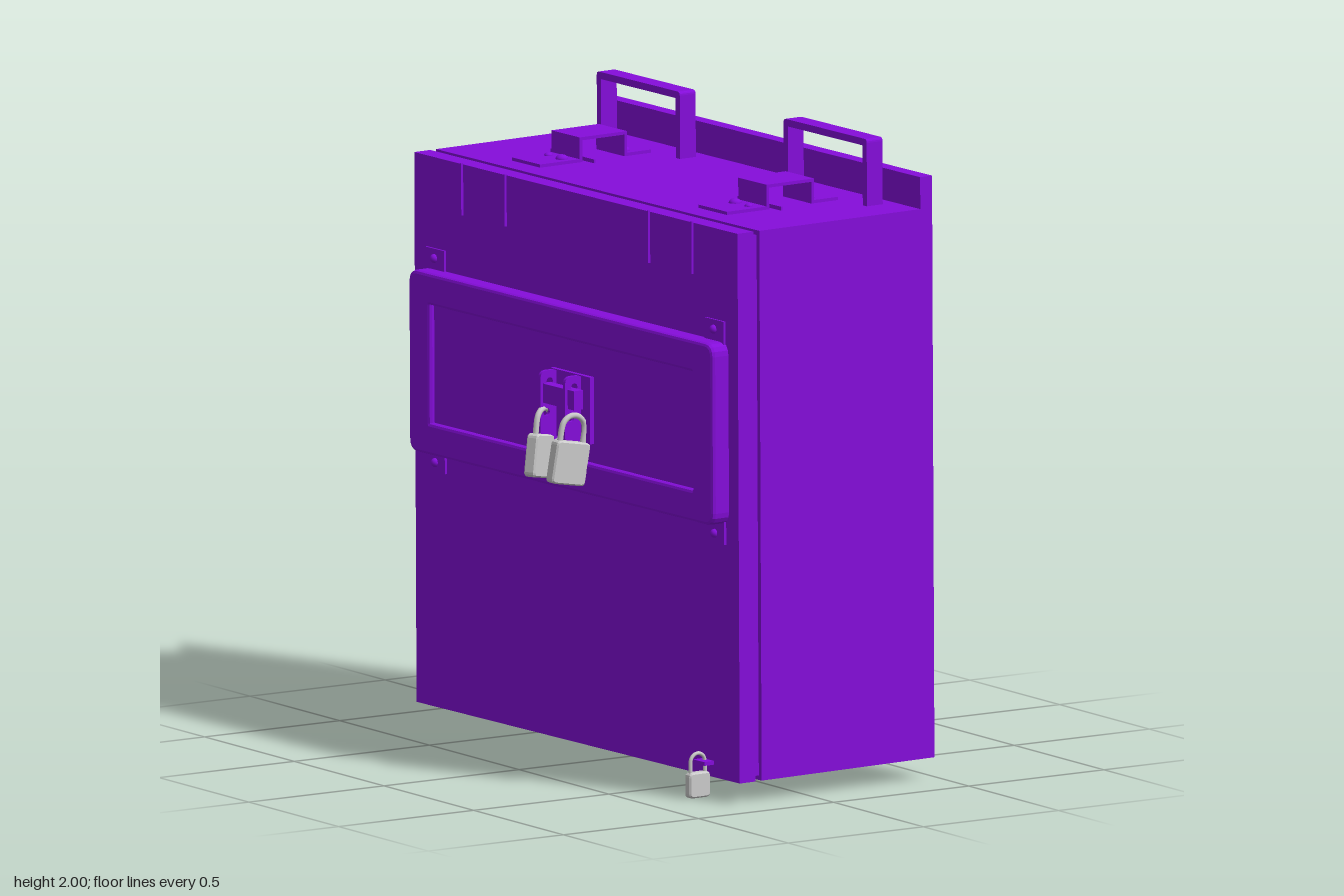
import * as THREE from 'three';

const purple = new THREE.MeshStandardMaterial({ color: 0x850ddb });
const grey = new THREE.MeshStandardMaterial({ color: 0xcccccc });

function add(parent, name, geometry, material = purple) {
  const mesh = new THREE.Mesh(geometry, material);
  mesh.name = name;
  parent.add(mesh);
  return mesh;
}

// Box given by its minimum and maximum on each axis
function box(parent, name, [x0, x1], [y0, y1], [z0, z1], material) {
  const mesh = add(parent, name, new THREE.BoxGeometry(x1 - x0, y1 - y0, z1 - z0), material);
  mesh.position.set((x0 + x1) / 2, (y0 + y1) / 2, (z0 + z1) / 2);
  return mesh;
}

// Rounded rectangle outline centred on the origin
function roundedRect(w, h, r, Type = THREE.Shape) {
  const s = new Type();
  const x = w / 2, y = h / 2;
  s.moveTo(-x + r, -y);
  s.lineTo(x - r, -y).quadraticCurveTo(x, -y, x, -y + r);
  s.lineTo(x, y - r).quadraticCurveTo(x, y, x - r, y);
  s.lineTo(-x + r, y).quadraticCurveTo(-x, y, -x, y - r);
  s.lineTo(-x, -y + r).quadraticCurveTo(-x, -y, -x + r, -y);
  return s;
}

// Padlock in the xy plane, origin at the top of the shackle
function padlock(name, w, h, d, rise) {
  const lock = new THREE.Group();
  lock.name = name;
  const body = add(lock, 'lockBody', new THREE.ExtrudeGeometry(roundedRect(w - 0.01, h - 0.01, 0.01), {
    depth: d - 0.01, bevelSize: 0.005, bevelThickness: 0.005, bevelSegments: 1, curveSegments: 3,
  }), grey);
  body.position.set(0, -rise - h / 2, -d / 2 + 0.005);
  const r = w * 0.34, t = w * 0.075;
  const points = [new THREE.Vector3(-r, -rise - 0.01, 0)];
  for (let i = 0; i <= 8; i++) {
    const a = Math.PI * (1 - i / 8);
    points.push(new THREE.Vector3(r * Math.cos(a), -r - t + r * Math.sin(a), 0));
  }
  points.push(new THREE.Vector3(r, -rise - 0.01, 0));
  add(lock, 'shackle', new THREE.TubeGeometry(new THREE.CatmullRomCurve3(points), 32, t, 8), grey);
  return lock;
}

// U-shaped strap handle standing on the lid
function handle(z) {
  const s = new THREE.Shape();
  const w = 0.22, h = 0.21, t = 0.022, r = 0.012;
  s.moveTo(-w, 0);
  s.lineTo(-w, h - r).quadraticCurveTo(-w, h, -w + r, h);
  s.lineTo(w - r, h).quadraticCurveTo(w, h, w, h - r);
  s.lineTo(w, 0).lineTo(w - t, 0).lineTo(w - t, h - t);
  s.lineTo(-w + t, h - t).lineTo(-w + t, 0).closePath();
  const geometry = new THREE.ExtrudeGeometry(s, { depth: 0.06, bevelEnabled: false, curveSegments: 4 });
  geometry.translate(0, 0, -0.03).rotateY(Math.PI / 2);
  const g = new THREE.Group();
  g.name = 'handle';
  add(g, 'handleStrap', geometry);
  g.position.set(0.33, 1.79, z);
  return g;
}

// Hat-shaped bracket bolted to the lid
function bracket(z) {
  const g = new THREE.Group();
  g.name = 'lidBracket';
  const t = 0.01, h = 0.078, half = 0.075;
  const s = new THREE.Shape();
  [[-0.13, 0], [-0.13, t], [0.02, t], [0.02, h], [0.2, h], [0.2, t], [0.29, t], [0.29, 0],
    [0.19, 0], [0.19, h - t], [0.03, h - t], [0.03, 0]].forEach(([x, y], i) => (i ? s.lineTo(x, y) : s.moveTo(x, y)));
  const geometry = new THREE.ExtrudeGeometry(s, { depth: half * 2, bevelEnabled: false });
  add(g, 'bracketStrip', geometry.translate(0, 0, -half));
  for (const x of [-0.02, 0.215]) {
    [-1, 1].forEach((side) => {
      const bolt = add(g, 'bolt', new THREE.SphereGeometry(side > 0 ? 0.02 : 0.013, 12, 6, 0, Math.PI * 2, 0, Math.PI / 2));
      bolt.scale.y = 0.7;
      bolt.position.set(x, t, 0.036 * Math.sign(-z) * side);
    });
  }
  box(g, 'pin', [0.046, 0.052], [0, 0.012], [-0.115, 0.115]);
  // thin wires hanging over the door edge
  for (const side of [-1, 1]) {
    box(g, 'wire', [-0.296, -0.288], [-0.16, 0.004], [side * 0.115 - 0.003, side * 0.115 + 0.003]);
  }
  g.position.set(0, 1.79, z);
  return g;
}

export function createModel() {
  const model = new THREE.Group();
  model.name = 'lockedCabinet';
  const cabinet = new THREE.Group();
  cabinet.name = 'cabinet';
  cabinet.rotation.set(0, 0.035, 0.005);
  model.add(cabinet);

  // Case, gap behind the door, door and taller back plate
  const W = 0.856;
  box(cabinet, 'case', [-0.205, 0.41], [0.066, 1.79], [-W, W]);
  box(cabinet, 'doorGap', [-0.24, -0.2], [0.08, 1.775], [-W + 0.015, W - 0.015]);
  box(cabinet, 'door', [-0.288, -0.228], [0.066, 1.79], [-W, W]);
  box(cabinet, 'backPlate', [0.405, 0.45], [0.066, 1.89], [-W, W]);

  for (const z of [-0.49, 0.5]) cabinet.add(handle(z));
  for (const z of [-0.485, 0.505]) cabinet.add(bracket(z));

  // Raised frame on the door with a recessed panel
  const ring = roundedRect(1.59, 0.55, 0.03);
  ring.holes.push(roundedRect(1.41, 0.39, 0.01, THREE.Path));
  const frameGeometry = new THREE.ExtrudeGeometry(ring, {
    depth: 0.05, bevelSize: 0.01, bevelThickness: 0.012, bevelSegments: 2, curveSegments: 4,
  });
  const frame = add(cabinet, 'doorFrame', frameGeometry.rotateY(-Math.PI / 2));
  frame.position.set(-0.288, 1.155, 0);
  box(cabinet, 'framePanel', [-0.33, -0.28], [0.93, 1.38], [-0.74, 0.74]);

  // Bolted tabs at the frame corners
  for (const z of [-0.74, 0.74]) {
    for (const y of [0.85, 1.46]) {
      box(cabinet, 'frameTab', [-0.296, -0.28], [y - 0.045, y + 0.045], [z - 0.05, z + 0.05]);
      const bolt = add(cabinet, 'tabBolt', new THREE.SphereGeometry(0.014, 10, 8));
      bolt.position.set(-0.297, y + Math.sign(y - 1) * 0.015, z);
    }
  }

  // Hasp: two pierced lugs joined by a plate
  const lug = roundedRect(0.07, 0.22, 0.025);
  const hole = new THREE.Path();
  hole.absarc(0, 0.075, 0.012, 0, Math.PI * 2, true);
  lug.holes.push(hole);
  const slot = new THREE.Path();
  slot.absarc(-0.012, -0.02, 0.012, 0, Math.PI * 2, true);
  lug.holes.push(slot);
  const lugGeometry = new THREE.ExtrudeGeometry(lug, { depth: 0.012, bevelEnabled: false, curveSegments: 8 });
  for (const z of [-0.04, 0.09]) {
    add(cabinet, 'haspLug', lugGeometry).position.set(-0.37, 1.13, z);
  }
  box(cabinet, 'haspPlate', [-0.395, -0.36], [1.14, 1.2], [-0.04, 0.135]);
  box(cabinet, 'haspBase', [-0.345, -0.325], [1.03, 1.24], [-0.06, 0.15]);

  // Padlocks hanging from the hasp
  [[-0.04, 0.4], [0.12, -0.03]].forEach(([z, turn]) => {
    const lock = padlock('haspPadlock', 0.125, 0.135, 0.04, 0.09);
    lock.position.set(-0.378, 1.13, z);
    lock.rotation.set(0, turn, -0.18);
    cabinet.add(lock);
  });

  // Small padlock on a tab at the bottom corner of the door
  box(cabinet, 'lowerTab', [-0.325, -0.27], [0.105, 0.117], [0.66, 0.72]);
  const lower = padlock('lowerPadlock', 0.08, 0.08, 0.03, 0.064);
  lower.position.set(-0.325, 0.146, 0.685);
  cabinet.add(lower);

  return model;
}
